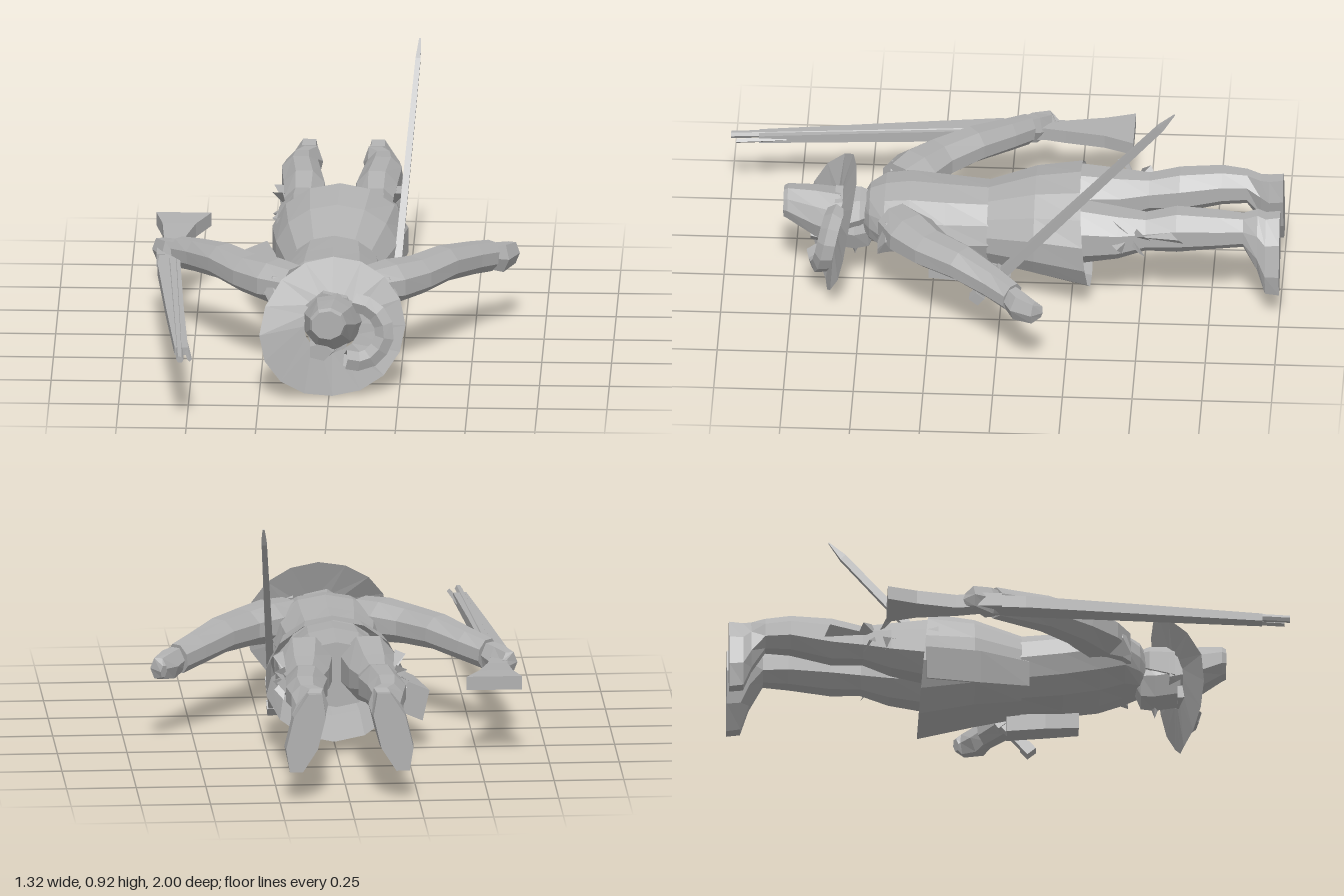
import * as THREE from 'three';

const cloth = new THREE.MeshStandardMaterial({ color: 0xb0b0b0, side: THREE.DoubleSide });
cloth.name = 'grey';

// Faceted skin over elliptical sections [x, y, z, halfWidth, halfHeight]; follows the path unless dir is fixed.
function loft(sections, n = 8, { dir = null, caps = true, turn = 0 } = {}) {
  const pos = [], index = [], up = new THREE.Vector3(0, 1, 0);
  const centre = (i) => new THREE.Vector3(...sections[i].slice(0, 3));
  const last = sections.length - 1;
  sections.forEach(([, , , a, b], i) => {
    const t = dir ? new THREE.Vector3(...dir)
      : centre(Math.min(i + 1, last)).sub(centre(Math.max(i - 1, 0)));
    t.normalize();
    const u = up.clone().cross(t).normalize();
    const v = t.clone().cross(u);
    for (let j = 0; j < n; j++) {
      const q = (j / n) * Math.PI * 2 + turn;
      const p = centre(i).addScaledVector(u, Math.cos(q) * a).addScaledVector(v, Math.sin(q) * b);
      pos.push(p.x, p.y, p.z);
    }
  });
  for (let i = 0; i < last; i++) for (let j = 0; j < n; j++) {
    const k = (j + 1) % n, a = i * n + j, b = i * n + k;
    index.push(a, b, b + n, a, b + n, a + n);
  }
  if (caps) for (let j = 1; j < n - 1; j++) {
    index.push(0, j + 1, j, last * n, last * n + j, last * n + j + 1);
  }
  return facet(pos, index);
}

function facet(pos, index) {
  let g = new THREE.BufferGeometry();
  g.setAttribute('position', new THREE.Float32BufferAttribute(pos, 3));
  g.setIndex(index);
  g = g.toNonIndexed();
  g.computeVertexNormals();
  return g;
}

// Moves each vertex by a rule and refreshes the facets
function reshape(g, rule) {
  const p = g.attributes.position, v = new THREE.Vector3();
  for (let i = 0; i < p.count; i++) {
    rule(v.fromBufferAttribute(p, i));
    p.setXYZ(i, v.x, v.y, v.z);
  }
  g.computeVertexNormals();
  return g;
}

export function createModel() {
  const model = new THREE.Group();
  const add = (name, geometry, parent = model) => {
    const m = new THREE.Mesh(geometry, cloth);
    m.name = name;
    parent.add(m);
    return m;
  };
  const Z = { dir: [0, 0, 1] };
  const box = Math.PI / 4;

  // Body lying face down, head towards +z
  add('torso', loft([
    [0, 0.28, -0.27, 0.16, 0.12], [0, 0.27, -0.1, 0.18, 0.14], [0, 0.26, 0.04, 0.17, 0.14],
    [0, 0.27, 0.2, 0.19, 0.14], [0, 0.285, 0.33, 0.2, 0.135], [0, 0.295, 0.42, 0.19, 0.112],
    [0, 0.29, 0.475, 0.12, 0.095], [0, 0.28, 0.5, 0.06, 0.07],
  ], 12, Z));

  // Flared coat skirt, open at the hem and longer at the front
  add('coatSkirt', reshape(loft([
    [0.01, 0.265, -0.3, 0.25, 0.22], [0.005, 0.275, -0.12, 0.225, 0.185], [0, 0.26, 0.05, 0.172, 0.142],
  ], 14, { ...Z, caps: false, turn: Math.PI / 2 }), (v) => {
    if (v.z < -0.2) v.z = -0.3 + (v.y - 0.27) * 0.09;
  }));

  // Limbs, mirrored
  for (const s of [1, -1]) {
    const side = new THREE.Group();
    side.name = s > 0 ? 'leftLimbs' : 'rightLimbs';
    model.add(side);
    const flip = (list) => list.map(([x, ...rest]) => [s * x, ...rest]);
    // Toes point down and splay outwards
    add('legAndBoot', reshape(loft(flip([
      [0.157, 0.255, -1, 0.062, 0.155], [0.157, 0.255, -0.95, 0.066, 0.148], [0.15, 0.3, -0.92, 0.062, 0.108],
      [0.145, 0.343, -0.87, 0.06, 0.063], [0.147, 0.345, -0.78, 0.074, 0.071], [0.13, 0.33, -0.63, 0.08, 0.085],
      [0.13, 0.317, -0.52, 0.073, 0.07], [0.125, 0.305, -0.42, 0.096, 0.095], [0.115, 0.3, -0.25, 0.11, 0.125],
    ]), 8, { ...Z, turn: Math.PI / 8 }), (v) => {
      if (v.z < -0.9) v.x += s * (0.255 - v.y) * 0.24;
    }), side);
    add('arm', loft(flip([
      [0.13, 0.33, 0.38, 0.08, 0.07], [0.21, 0.328, 0.32, 0.098, 0.078], [0.3, 0.327, 0.245, 0.083, 0.069],
      [0.395, 0.33, 0.125, 0.073, 0.064], [0.49, 0.31, 0.01, 0.057, 0.06], [0.555, 0.295, -0.06, 0.047, 0.058],
    ]), 8, { turn: Math.PI / 8 }), side);
    add('hand', loft(flip([
      [0.55, 0.295, -0.05, 0.035, 0.05], [0.59, 0.28, -0.085, 0.044, 0.058], [0.63, 0.28, -0.14, 0.03, 0.045],
      [0.612, 0.275, -0.165, 0.015, 0.025],
    ]), 6), side);
    add('shoulderPuff', loft(flip([
      [0.19, 0.26, 0.44, 0.02, 0.03], [0.18, 0.31, 0.41, 0.06, 0.07], [0.19, 0.32, 0.3, 0.055, 0.06],
    ]), 6, Z), side);
    // Knee bow: pointed loops and hanging ends
    for (const [y, z] of [[0.395, -0.43], [0.36, -0.52], [0.3, -0.42], [0.29, -0.5], [0.35, -0.64]]) {
      add('kneeBow', facet([
        s * 0.19, 0.33, -0.47, s * 0.238, y, z, s * 0.205, y - 0.035, z - 0.02,
        s * 0.2, y + 0.01, z + 0.03,
      ], [0, 1, 2, 0, 3, 1]), side);
    }
  }

  // Head, with the face turned to the ground
  add('head', loft([
    [0, 0.28, 0.45, 0.06, 0.065], [0, 0.24, 0.48, 0.07, 0.1], [0, 0.235, 0.53, 0.085, 0.1], [0, 0.25, 0.62, 0.085, 0.1],
  ], 8, Z));
  add('hair', loft([
    [0, 0.31, 0.46, 0.06, 0.05], [0, 0.3, 0.51, 0.085, 0.08], [0, 0.28, 0.6, 0.105, 0.1],
  ], 7, Z));
  add('nose', new THREE.ConeGeometry(0.022, 0.06, 4).toNonIndexed().rotateX(Math.PI)).position.set(0, 0.135, 0.53);

  // Wavy broad hat brim: z of rim at 16 angles from the left round over the back
  const rim = [0.56, 0.545, 0.53, 0.52, 0.525, 0.54, 0.575, 0.64, 0.69, 0.7, 0.69, 0.665, 0.635, 0.625, 0.61, 0.58];
  const bp = [], bi = [];
  rim.forEach((z, i) => {
    const q = (i / 16) * Math.PI * 2, c = Math.cos(q), d = Math.sin(q);
    bp.push(0.01 + c * 0.1, 0.26 + d * 0.1, 0.6 + (z - 0.6) * 0.3, 0.012 + c * 0.26, 0.245 + d * 0.245, z);
    const a = i * 2, b = ((i + 1) % 16) * 2;
    bi.push(a, a + 1, b + 1, a, b + 1, b);
  });
  add('hatBrim', facet(bp, bi));
  add('hatCrown', loft([
    [0.01, 0.265, 0.58, 0.108, 0.108], [0.005, 0.285, 0.67, 0.092, 0.097], [0, 0.32, 0.77, 0.068, 0.063],
    [0, 0.32, 0.785, 0.06, 0.055],
  ], 9, Z));
  // Plume curling round the left of the crown
  const plume = [[0.09, 0.34], [0.14, 0.33], [0.185, 0.29], [0.2, 0.23], [0.17, 0.17], [0.12, 0.14], [0.06, 0.15]];
  const curve = new THREE.CatmullRomCurve3(plume.map(([x, y], i) => new THREE.Vector3(x, y, 0.59 + i * 0.013)));
  const feather = new THREE.TubeGeometry(curve, 8, 0.036, 5).toNonIndexed();
  feather.computeVertexNormals();
  add('plume', feather);
  add('hatKnot', loft([[-0.02, 0.18, 0.61, 0.06, 0.04], [-0.03, 0.185, 0.69, 0.045, 0.035]], 5, Z));

  // Sword hanging at the left hip
  const sword = new THREE.Group();
  sword.name = 'sword';
  model.add(sword);
  const from = new THREE.Vector3(0.205, 0.055, 0.095), to = new THREE.Vector3(0.285, 0.915, -0.63);
  sword.position.copy(from);
  sword.quaternion.setFromUnitVectors(new THREE.Vector3(0, 1, 0), to.clone().sub(from).normalize());
  const len = to.distanceTo(from);
  add('blade', loft([
    [0, 0, 0.15, 0.02, 0.025], [0, 0, len - 0.08, 0.013, 0.018], [0, 0, len, 0.005, 0.002],
  ], 4, { ...Z, turn: box }).rotateX(-Math.PI / 2), sword);
  add('grip', new THREE.BoxGeometry(0.03, 0.16, 0.035), sword).position.y = 0.08;
  add('pommel', new THREE.BoxGeometry(0.04, 0.04, 0.04), sword).position.y = 0.02;
  add('guard', new THREE.BoxGeometry(0.04, 0.025, 0.06), sword).position.y = 0.16;

  // Musket held in the right hand
  add('musketStock', loft([
    [-0.555, 0.285, -0.445, 0.14, 0.035], [-0.568, 0.28, -0.34, 0.085, 0.036], [-0.583, 0.27, -0.2, 0.05, 0.036],
    [-0.595, 0.27, -0.12, 0.045, 0.034], [-0.592, 0.265, 0.05, 0.058, 0.032], [-0.556, 0.26, 0.5, 0.045, 0.026],
    [-0.52, 0.257, 0.9, 0.034, 0.02],
  ], 4, { ...Z, turn: box }));
  add('musketBarrel', loft([[-0.58, 0.275, 0, 0.022, 0.02], [-0.522, 0.26, 1, 0.013, 0.013]], 6, Z));
  add('ramrod', loft([[-0.51, 0.255, 0.8, 0.01, 0.01], [-0.488, 0.255, 0.98, 0.009, 0.009]], 4, Z));
  add('musketLock', new THREE.BoxGeometry(0.03, 0.05, 0.09)).position.set(-0.625, 0.27, -0.08);

  // Bag hanging on the right hip, and a belt pouch at the front
  add('hipBag', loft([
    [-0.28, 0.185, -0.295, 0.06, 0.083], [-0.235, 0.19, -0.1, 0.06, 0.083], [-0.185, 0.19, 0.075, 0.04, 0.065],
  ], 4, { ...Z, turn: box + 0.3 }));
  add('frontPouch', loft([
    [0.06, 0.095, 0, 0.06, 0.055], [0.075, 0.11, 0.14, 0.06, 0.05], [0.09, 0.125, 0.26, 0.05, 0.05],
  ], 4, { ...Z, turn: box }));
  return model;
}
